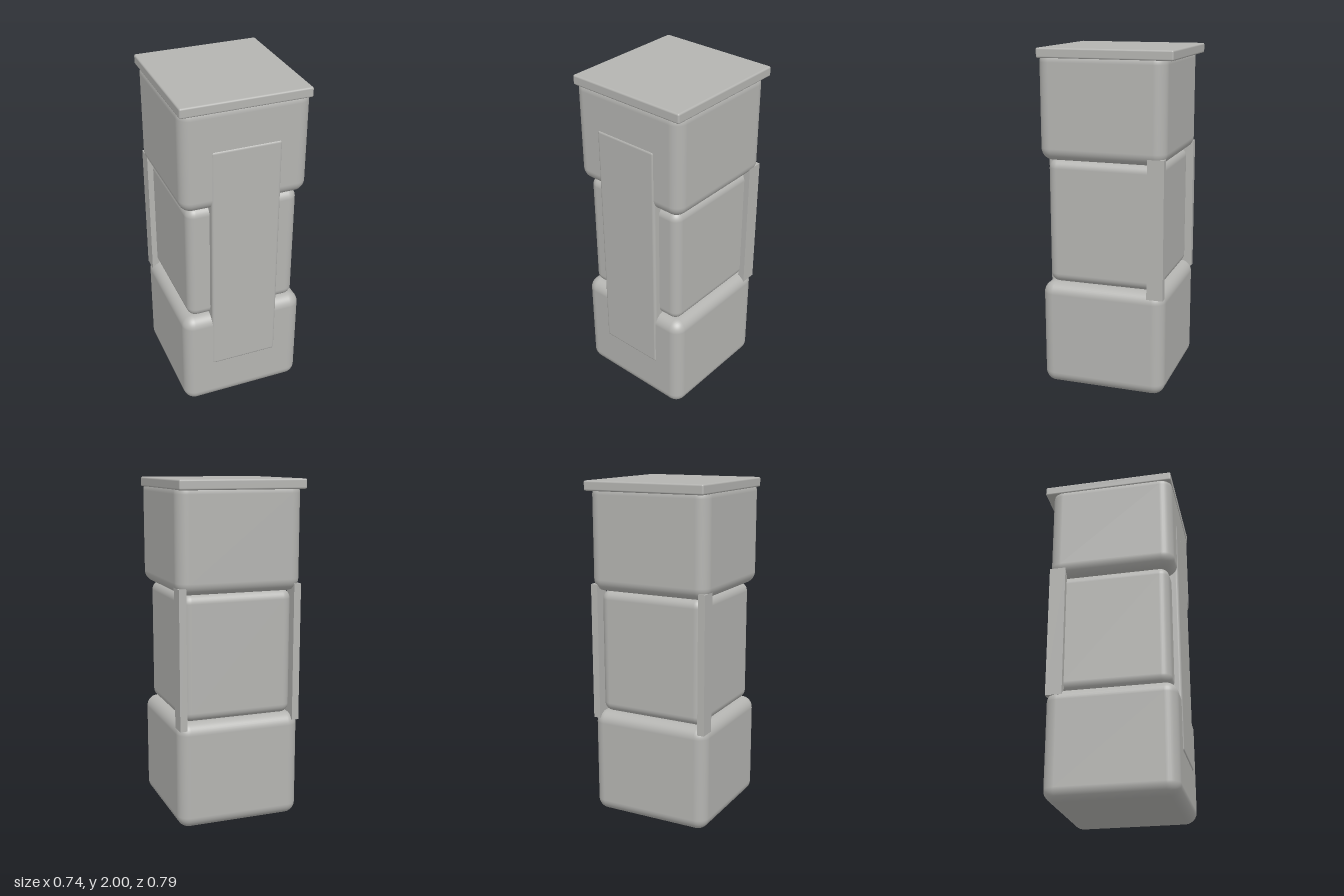
import * as THREE from 'three';
import { RoundedBoxGeometry } from 'three/addons/geometries/RoundedBoxGeometry.js';

export function createModel() {
  const model = new THREE.Group();
  model.name = 'pillar';
  const stone = new THREE.MeshStandardMaterial({ color: 0xb4b4b1 });
  stone.name = 'grey stone';

  // Rounded box given by its min and max corners
  function block(name, min, max, radius, segments = 5) {
    const [w, h, d] = max.map((v, i) => v - min[i]);
    const mesh = new THREE.Mesh(new RoundedBoxGeometry(w, h, d, segments, radius), stone);
    mesh.position.set(...max.map((v, i) => (v + min[i]) / 2));
    mesh.name = name;
    model.add(mesh);
  }

  // Three stacked blocks, the middle one recessed
  block('lowerBlock', [-0.372, 0, -0.355], [0.372, 0.637, 0.39], 0.07);
  block('middleBlock', [-0.332, 0.632, -0.315], [0.332, 1.372, 0.354], 0.055);
  block('upperBlock', [-0.372, 1.367, -0.355], [0.372, 1.99, 0.39], 0.07);

  // Flat lid overhanging at the back
  block('lid', [-0.372, 1.943, -0.396], [0.372, 2, 0.39], 0.01, 3);

  // Front panel spanning all three blocks
  block('frontPanel', [-0.203, 0.278, 0.3], [0.203, 1.728, 0.395], 0.016, 3);

  // Thin posts at the back corners
  for (const side of [1, -1]) {
    const post = new THREE.Mesh(new THREE.BoxGeometry(0.042, 0.81, 0.096), stone);
    post.position.set(side * 0.345, 1.004, -0.303);
    post.name = side > 0 ? 'leftBackPost' : 'rightBackPost';
    model.add(post);
  }
  return model;
}
